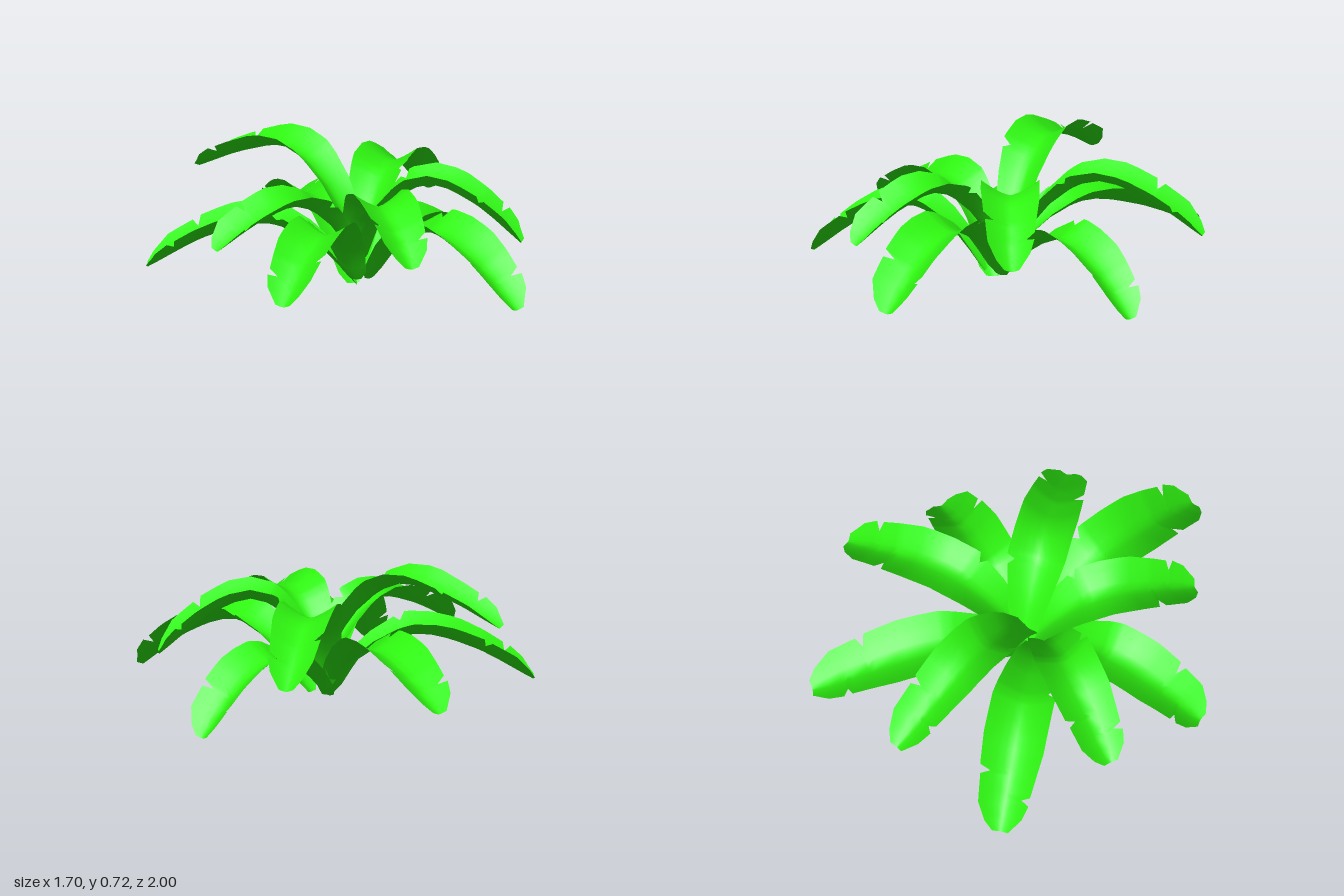
import * as THREE from 'three';

const COLS = 8;
// Piecewise-linear lookup in a list of [u, value] pairs
function lookup(pairs, u) {
  for (let i = 1; i < pairs.length; i++) {
    const [u0, v0] = pairs[i - 1], [u1, v1] = pairs[i];
    if (u <= u1) return v0 + (v1 - v0) * (u - u0) / (u1 - u0);
  }
  return pairs[pairs.length - 1][1];
}

// Half-width outlines with torn notches, looking outward along the leaf
const rightEdge = [[0, 0.2], [0.04, 0.42], [0.12, 0.52], [0.3, 0.76], [0.46, 0.97], [0.6, 1], [0.73, 0.93],
  [0.75, 0.6], [0.765, 0.88], [0.88, 0.8], [0.96, 0.52], [1, 0.25]];
const leftEdge = [[0, 0.2], [0.04, 0.42], [0.12, 0.52], [0.3, 0.76], [0.4, 0.9], [0.42, 0.72], [0.44, 0.98],
  [0.65, 0.95], [0.83, 0.77], [0.85, 0.5], [0.865, 0.76], [0.93, 0.62], [1, 0.25]];
// Depth of the upturned channel along the leaf
const fold = [[0, 0.45], [0.3, 0.55], [0.55, 0.54], [0.8, 0.6], [1, 0.7]];
const rows = [...new Set([...rightEdge, ...leftEdge].map(p => p[0])
  .concat([0.08, 0.2, 0.53]))].sort((a, b) => a - b);

function leafGeometry({ tip, base, peak, width, mirror }) {
  const start = new THREE.Vector3(...base), end = new THREE.Vector3(...tip);
  const at = (f, y) => start.clone().lerp(end, f).setY(y);
  const curve = new THREE.CatmullRomCurve3([
    start,
    at(0.2, 0.8 * peak - 0.02),
    at(0.44, peak),
    at(0.7, peak - 0.28 * (peak - end.y)),
    end,
  ]);
  const dir = end.clone().sub(start).setY(0).normalize();
  const side = new THREE.Vector3(-dir.z, 0, dir.x);
  const [edgeR, edgeL] = mirror ? [leftEdge, rightEdge] : [rightEdge, leftEdge];
  const pos = [], index = [];
  rows.forEach((u, r) => {
    const p = curve.getPointAt(u);
    const normal = side.clone().cross(curve.getTangentAt(u)).normalize();
    for (let c = 0; c <= COLS; c++) {
      const s = c / COLS * 2 - 1;
      const x = s * width * lookup(s > 0 ? edgeR : edgeL, u);
      const lift = lookup(fold, u) * Math.pow(Math.abs(x / width), 1.4) * width;
      const v = p.clone().addScaledVector(side, x).addScaledVector(normal, lift);
      pos.push(v.x, v.y, v.z);
      if (r && c) {
        const d = r * (COLS + 1) + c, b = d - COLS - 1;
        index.push(b - 1, b, d - 1, b, d, d - 1);
      }
    }
  });
  const g = new THREE.BufferGeometry();
  g.setAttribute('position', new THREE.Float32BufferAttribute(pos, 3));
  g.setIndex(index);
  g.computeVertexNormals();
  return g;
}

export function createModel() {
  const plant = new THREE.Group();
  plant.name = 'plant';
  const green = new THREE.MeshStandardMaterial({ color: 0x2ef510, side: THREE.DoubleSide });

  const leaves = [
    // lower ring
    { name: 'lowerLeafBack', tip: [0.085, 0.19, -0.99], base: [0.01, 0.07, 0.08], peak: 0.37, width: 0.15 },
    { name: 'lowerLeafLeft', tip: [0.83, 0.0, -0.12], base: [0.04, 0.08, 0.03], peak: 0.3, width: 0.145 },
    { name: 'lowerLeafFrontLeft', tip: [0.45, 0.1, 0.98], base: [0.09, 0.09, 0.1], peak: 0.38, width: 0.155 },
    { name: 'lowerLeafFrontRight', tip: [-0.6, 0.15, 0.68], base: [0, 0.1, 0.13], peak: 0.39, width: 0.145, mirror: true },
    { name: 'lowerLeafBackRight', tip: [-0.83, 0.13, -0.37], base: [0.02, 0.07, 0.1], peak: 0.35, width: 0.15 },
    // middle ring
    { name: 'middleLeafBackLeft', tip: [0.69, 0.3, -0.62], base: [0.05, 0.13, 0.03], peak: 0.54, width: 0.14, mirror: true },
    { name: 'middleLeafFrontLeft', tip: [0.7, 0.28, 0.45], base: [0.04, 0.14, 0.02], peak: 0.54, width: 0.14 },
    { name: 'middleLeafFront', tip: [-0.02, 0.31, 0.84], base: [0.03, 0.15, 0.06], peak: 0.51, width: 0.14 },
    { name: 'middleLeafRight', tip: [-0.73, 0.32, 0.2], base: [0.04, 0.12, 0.1], peak: 0.48, width: 0.14 },
    // top leaf
    { name: 'topLeaf', tip: [-0.41, 0.49, -0.74], base: [0.06, 0.2, 0.06], peak: 0.65, width: 0.135 },
  ];
  for (const leaf of leaves) {
    const mesh = new THREE.Mesh(leafGeometry(leaf), green);
    mesh.name = leaf.name;
    plant.add(mesh);
  }
  return plant;
}
